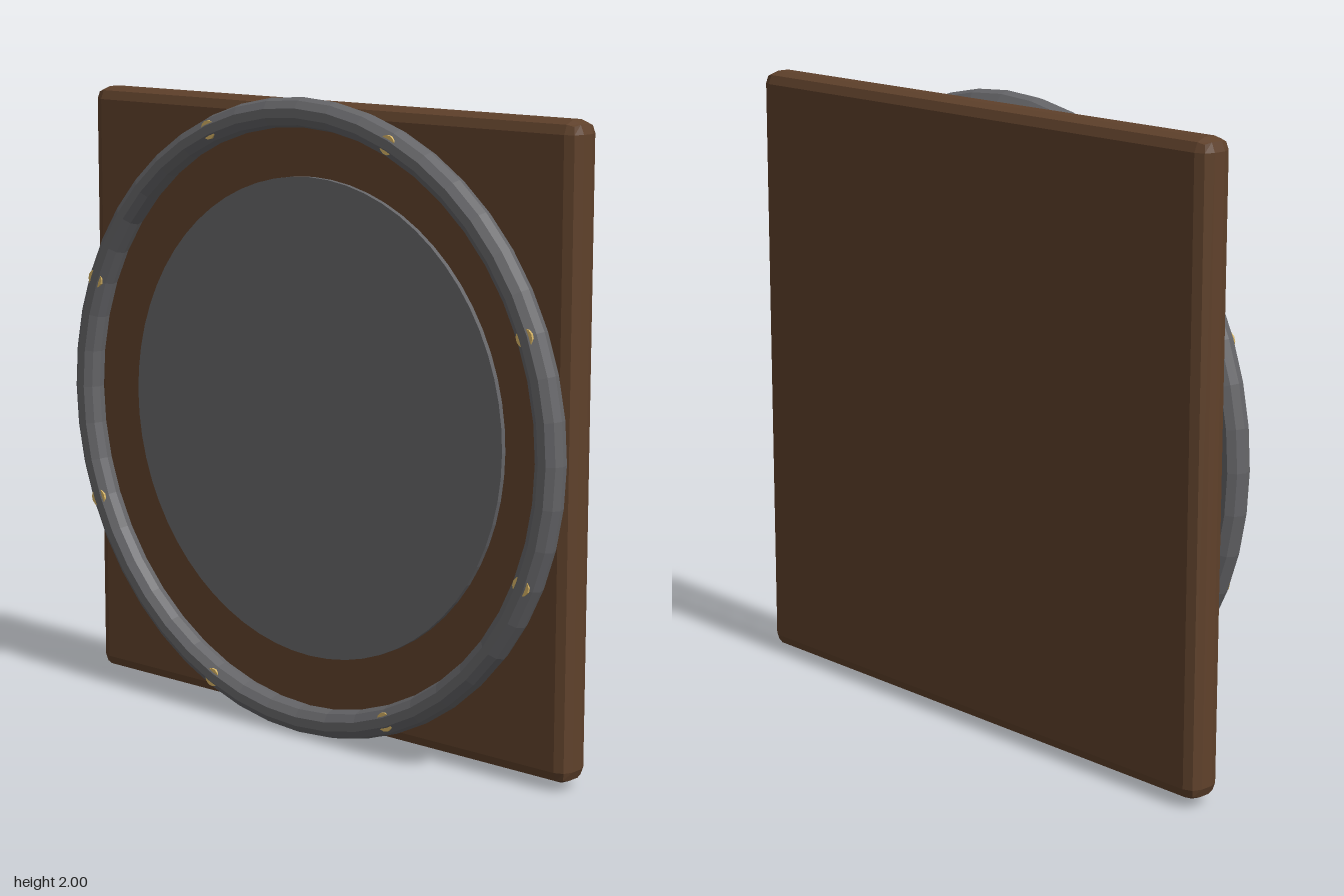
import * as THREE from 'three';
import { RoundedBoxGeometry } from 'three/addons/geometries/RoundedBoxGeometry.js';

const material = (name, color) => {
  const m = new THREE.MeshStandardMaterial({ color, flatShading: true });
  m.name = name;
  return m;
};

export function createModel() {
  const wood = material('brown wood', 0x5f412b);
  const iron = material('grey iron', 0x656568);
  const gold = material('pale gold', 0xd4b264);

  const group = new THREE.Group();
  group.name = 'ringedPanel';
  const add = (name, geometry, mat, x, y, z) => {
    const mesh = new THREE.Mesh(geometry, mat);
    mesh.name = name;
    mesh.position.set(x, y, z);
    group.add(mesh);
    return mesh;
  };

  // Square panel with faceted bevels
  add('panel', new RoundedBoxGeometry(1.96, 1.96, 0.121, 1, 0.04), wood, 0, 1, -0.05);

  // Thin round plate held just in front of the panel
  const plate = add('centrePlate', new THREE.CylinderGeometry(0.755, 0.755, 0.016, 64), iron, 0, 1, 0.031);
  plate.rotation.x = Math.PI / 2;

  // Ring standing clear of the panel, with a narrow flat front
  const ringRadius = 0.954, ringZ = 0.066;
  add('ring', new THREE.TorusGeometry(ringRadius, 0.046, 10, 48), iron, 0, 1, ringZ);

  // Eight round studs sunk in the ring, showing on either side of its front
  const studGeometry = new THREE.CylinderGeometry(0.03, 0.03, 0.03, 12).rotateX(Math.PI / 2);
  for (let i = 0; i < 8; i++) {
    const a = (i + 0.5) * Math.PI / 4;
    add('stud', studGeometry, gold,
      ringRadius * Math.cos(a), 1 + ringRadius * Math.sin(a), ringZ + 0.026);
  }
  return group;
}
